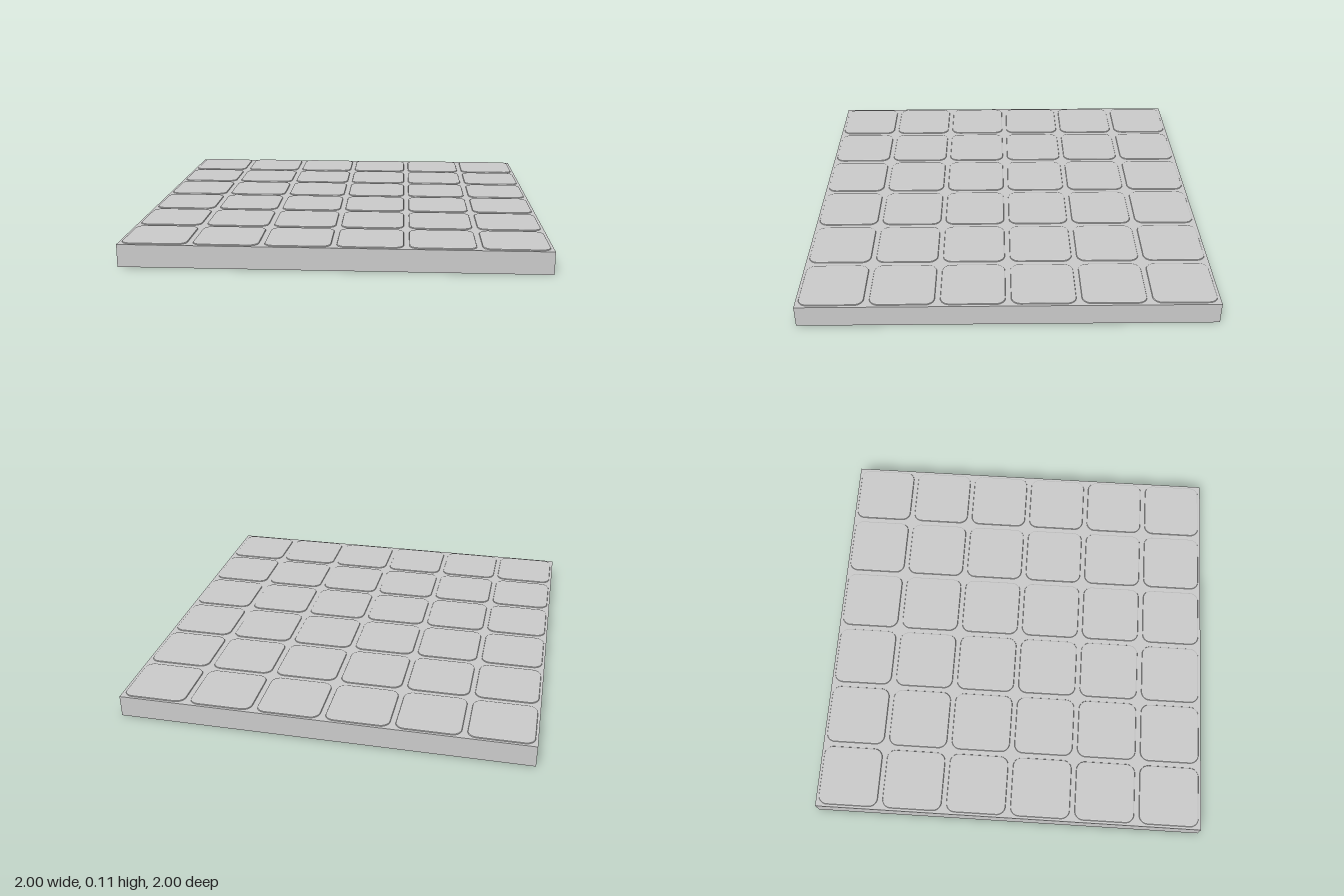
import * as THREE from 'three';

const COUNT = 6;            // tiles per side
const PITCH = 2 / COUNT;
const SLAB_TOP = 0.108;
const TILE_TOP = 0.114;

// Square outline with rounded corners, centred on the origin
function roundedSquare(half, r) {
  const s = new THREE.Shape();
  const c = half - r;
  s.absarc(c, c, r, 0, Math.PI / 2);
  s.absarc(-c, c, r, Math.PI / 2, Math.PI);
  s.absarc(-c, -c, r, Math.PI, Math.PI * 1.5);
  s.absarc(c, -c, r, Math.PI * 1.5, Math.PI * 2);
  s.closePath();
  return s;
}

export function createModel() {
  const group = new THREE.Group();
  group.name = 'tiledFloor';
  const material = new THREE.MeshStandardMaterial({ color: 0xcccccc });

  // Base slab
  const slab = new THREE.Mesh(new THREE.BoxGeometry(2, SLAB_TOP, 2), material);
  slab.name = 'slab';
  slab.position.y = SLAB_TOP / 2;
  group.add(slab);

  // One raised tile with softened edges, its lower half sunk in the slab
  const bevel = 0.006;
  const depth = 0.01;
  const tileGeometry = new THREE.ExtrudeGeometry(roundedSquare(0.148, 0.04), {
    depth, bevelThickness: bevel, bevelSize: bevel, bevelSegments: 2, curveSegments: 5,
  });
  tileGeometry.rotateX(-Math.PI / 2);
  tileGeometry.translate(0, TILE_TOP - depth - bevel, 0);

  // Grid of tiles
  const tiles = new THREE.Group();
  tiles.name = 'tiles';
  for (let row = 0; row < COUNT; row++) {
    for (let col = 0; col < COUNT; col++) {
      const tile = new THREE.Mesh(tileGeometry, material);
      tile.name = `tile_${row + 1}_${col + 1}`;
      tile.position.set(-1 + (col + 0.5) * PITCH, 0, -1 + (row + 0.5) * PITCH);
      tiles.add(tile);
    }
  }
  group.add(tiles);
  return group;
}
